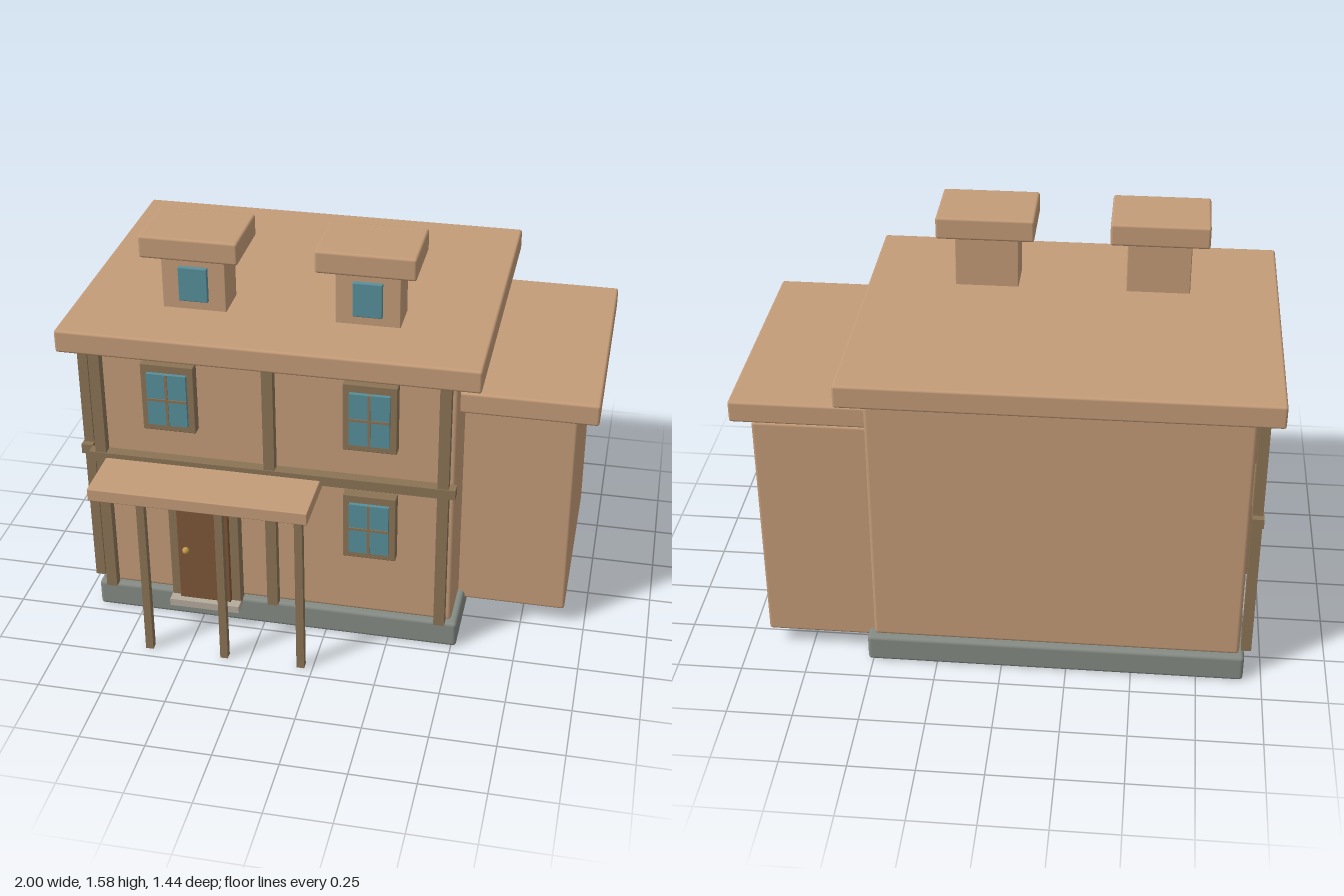
import * as THREE from 'three';
import { RoundedBoxGeometry } from 'three/addons/geometries/RoundedBoxGeometry.js';

const mat = (color) => new THREE.MeshStandardMaterial({ color });
const wall = mat(0xc49c78), timber = mat(0x8b7355), stone = mat(0x858b84);
const glass = mat(0x578f9b), wood = mat(0x7d5638), brass = mat(0xc09a4a), slab = mat(0xb5ab9c);

// Box given by its extents on each axis; a radius rounds the edges
function block(parent, name, material, [x0, x1], [y0, y1], [z0, z1], radius = 0) {
  const size = [x1 - x0, y1 - y0, z1 - z0];
  const geometry = radius ? new RoundedBoxGeometry(...size, 2, radius) : new THREE.BoxGeometry(...size);
  const mesh = new THREE.Mesh(geometry, material);
  mesh.name = name;
  mesh.position.set((x0 + x1) / 2, (y0 + y1) / 2, (z0 + z1) / 2);
  parent.add(mesh);
  return mesh;
}

// Interval from a centre and a width
const around = (c, w) => [c - w / 2, c + w / 2];

// Framed four-pane window standing on the plane z = 0 and facing +z
function createWindow() {
  const g = new THREE.Group();
  g.name = 'window';
  block(g, 'windowFrame', timber, around(0, 0.204), around(0, 0.28), [-0.01, 0.04], 0.004);
  block(g, 'windowGlass', glass, around(0, 0.152), around(0, 0.215), [0.03, 0.055]);
  block(g, 'verticalMullion', timber, around(0, 0.01), around(0, 0.215), [0.04, 0.059]);
  block(g, 'horizontalMullion', timber, around(0, 0.152), around(0, 0.01), [0.04, 0.059]);
  return g;
}

// Timber posts and a middle beam on the plane z = 0, for a wall of the given width
function createTimbering(width) {
  const g = new THREE.Group();
  g.name = 'timbering';
  for (const s of [-1, 0, 1]) {
    block(g, 'timberPost', timber, around(s * (width / 2 - 0.042), 0.042), [0.115, 1.18], [0.008, 0.046]);
  }
  block(g, 'timberBeam', timber, around(0, width + 0.01), [0.702, 0.742], [0.006, 0.05]);
  return g;
}

export function createModel() {
  const house = new THREE.Group();
  house.name = 'house';

  // Main block
  block(house, 'foundation', stone, [-0.93, 0.52], [0, 0.11], [-0.65, 0.46], 0.015);
  block(house, 'mainWalls', wall, [-0.91, 0.495], [0.11, 1.185], [-0.63, 0.44], 0.015);
  block(house, 'mainRoof', wall, [-1, 0.585], [1.18, 1.27], [-0.72, 0.522], 0.01);

  // Side wing
  block(house, 'wingWalls', wall, [0.4, 0.918], [0.075, 1.025], [-0.59, 0.235], 0.012);
  block(house, 'wingRoof', wall, [0.42, 1], [1.02, 1.105], [-0.588, 0.393], 0.01);

  // Roof turrets with small windows
  for (const x of [-0.538, 0.123]) {
    const turret = new THREE.Group();
    turret.name = 'roofTurret';
    block(turret, 'turretWalls', wall, around(x, 0.245), [1.26, 1.495], [0.1, 0.25], 0.004);
    block(turret, 'turretCap', wall, around(x, 0.375), [1.492, 1.58], [0.03, 0.31], 0.01);
    block(turret, 'turretGlass', glass, around(x, 0.112), [1.307, 1.445], [0.24, 0.265], 0.004);
    house.add(turret);
  }

  // Front wall: timbering and windows
  const front = new THREE.Group();
  front.name = 'frontWall';
  front.position.set(-0.207, 0, 0.44);
  front.add(createTimbering(1.405));
  for (const [x, y] of [[-0.382, 1.005], [0.383, 1.005], [0.383, 0.528]]) {
    const w = createWindow();
    w.position.set(x, y, 0);
    front.add(w);
  }
  house.add(front);

  // Wall on the -x side, built facing +z and turned outward
  const side = new THREE.Group();
  side.name = 'sideWall';
  side.position.set(-0.91, 0, -0.095);
  side.rotation.y = -Math.PI / 2;
  side.add(createTimbering(1.07));
  for (const x of [-0.257, 0.257]) {
    for (const y of [0.528, 1.005]) {
      const w = createWindow();
      w.position.set(x, y, 0);
      side.add(w);
    }
  }
  house.add(side);

  // Door
  const door = new THREE.Group();
  door.name = 'door';
  block(door, 'doorFrame', timber, around(-0.475, 0.28), [0.1, 0.605], [0.43, 0.485], 0.004);
  block(door, 'doorLeaf', wood, around(-0.475, 0.206), [0.115, 0.58], [0.46, 0.502], 0.004);
  block(door, 'doorStep', slab, around(-0.475, 0.28), [0.085, 0.115], [0.43, 0.526]);
  const knob = new THREE.Mesh(new THREE.SphereGeometry(0.014, 16, 12), brass);
  knob.name = 'doorKnob';
  knob.position.set(-0.543, 0.347, 0.512);
  door.add(knob);
  house.add(door);

  // Porch
  const porch = new THREE.Group();
  porch.name = 'porch';
  block(porch, 'porchRoof', wall, [-0.848, -0.01], [0.671, 0.722], [0.43, 0.717], 0.004);
  for (const x of [-0.65, -0.35, -0.047]) {
    block(porch, 'porchPost', timber, around(x, 0.03), [0, 0.675], around(0.69, 0.03));
  }
  house.add(porch);

  return house;
}
